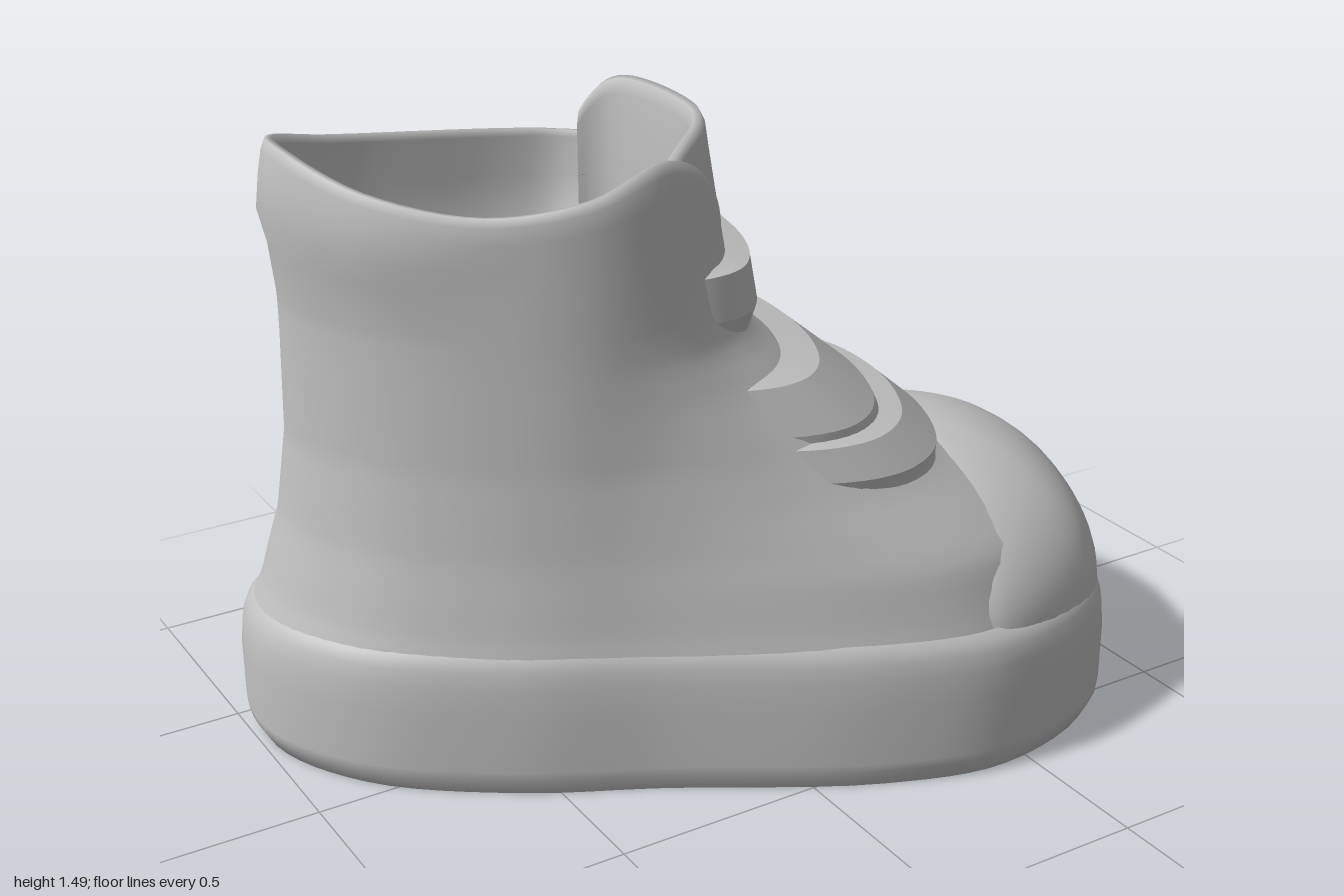
import * as THREE from 'three';

const V = (x, y, z) => new THREE.Vector3(x, y, z);
const lerp = THREE.MathUtils.lerp;
const curve = (pts, closed) => new THREE.CatmullRomCurve3(pts.map(p => V(...p)), closed);

// Matching outlines, heel -> inner side -> toe -> outer side.
const soleCurve = curve([
  [-1, 0, -.32], [-.935, 0, -.565], [-.7, 0, -.67], [-.4, 0, -.625], [-.1, 0, -.545], [.15, 0, -.515],
  [.45, 0, -.5], [.75, 0, -.43], [.95, 0, -.2], [1, 0, 0], [.965, 0, .26], [.78, 0, .565],
  [.45, 0, .665], [.15, 0, .585], [-.3, 0, .33], [-.6, 0, .17], [-.88, 0, -.06]], true);
// Ankle outline; y is the collar height there.
const ankleCurve = curve([
  [-.86, 1.44, -.32], [-.825, 1.43, -.46], [-.67, 1.39, -.53], [-.42, 1.36, -.54], [-.22, 1.34, -.525], [-.1, 1.33, -.49],
  [-.02, 1.32, -.42], [.03, 1.24, -.34], [.05, 1.21, -.22], [.05, 1.2, -.1], [.03, 1.2, .02], [-.01, 1.25, .11],
  [-.08, 1.38, .18], [-.2, 1.445, .225], [-.38, 1.38, .205], [-.58, 1.345, .09], [-.77, 1.38, -.1]], true);
const COUNT = 17, SEG = 102;

// How far the sole outline has closed in to the ankle at each height.
const backBlend = [[.31, .2], [.37, .4], [.45, .55], [.55, .75], [.75, .95], [1, 1]];
const frontBlend = [[.31, .07], [.5, .19], [.58, .32], [.65, .45], [.7, .52], [.8, .66], [.9, .81], [1, .93], [1.1, .98], [1.2, 1]];
function sample(table, y) {
  if (y <= table[0][0]) return table[0][1];
  for (let i = 1; i < table.length; i++) {
    const [a, va] = table[i - 1], [b, vb] = table[i];
    if (y <= b) return lerp(va, vb, (y - a) / (b - a));
  }
  return table[table.length - 1][1];
}

// Moves a point horizontally away from the ankle axis.
function push(p, off) {
  const dx = p.x + .4, dz = p.z + .17, d = Math.hypot(dx, dz) || 1;
  p.x += dx / d * off;
  p.z += dz / d * off;
  return p;
}

// Point on the upper; u is measured in outline points.
function upperPoint(u, y, off = 0) {
  const t = u / COUNT, s = soleCurve.getPoint(t), a = ankleCurve.getPoint(t);
  const front = THREE.MathUtils.smoothstep(s.x, -.5, .6);
  const p = s.lerp(a, lerp(sample(backBlend, y), sample(frontBlend, y), front));
  p.y = y;
  return push(p, off);
}

// Skins rows of points; a repeated row makes a sharp edge.
function loft(rows, closed) {
  const n = rows[0].length, pos = [], index = [];
  rows.forEach(row => row.forEach(p => pos.push(p.x, p.y, p.z)));
  for (let j = 0; j < rows.length - 1; j++) {
    for (let i = 0; i < (closed ? n : n - 1); i++) {
      const k = (i + 1) % n, a = j * n + i, b = j * n + k, c = a + n, d = b + n;
      index.push(a, c, b, b, c, d);
    }
  }
  const g = new THREE.BufferGeometry();
  g.setAttribute('position', new THREE.Float32BufferAttribute(pos, 3));
  g.setIndex(index);
  g.computeVertexNormals();
  return g;
}

const ring = fn => Array.from({ length: SEG }, (_, i) => fn(i * COUNT / SEG));

function soleGeometry() {
  const profile = [[0, 0], [0, .95], [0, .95], [0, .975], [.04, .997], [.06, 1], [.2, 1],
    [.27, .993], [.31, .98], [.335, .96], [.35, .93]];
  return loft(profile.map(([y, s]) => ring(u => {
    const p = soleCurve.getPoint(u / COUNT);
    return V(p.x * s, y, p.z * s);
  })), true);
}

function upperGeometry() {
  const rows = [];
  for (let y = .3; y < 1.11; y += .03) rows.push(ring(u => upperPoint(u, y)));
  // Padded collar, fuller at the heel, rolled over the rim: [share of height, offset, heel offset]
  const collar = [[.25, 0, .012], [.5, 0, .03], [.75, 0, .02], [.92, 0, .01], [1, -.01, 0],
    [1, -.02, -.015], [.93, -.03, -.025], [.5, -.035, -.02]];
  collar.forEach(([s, side, heel]) => rows.push(ring(u => {
    const p = ankleCurve.getPoint(u / COUNT);
    p.y = lerp(1.12, p.y, s);
    return push(p, lerp(heel, side, THREE.MathUtils.smoothstep(p.x, -.85, -.5)));
  })));
  // Lining narrowing to a bowl: [height, scale]
  [[1.14, .85], [1.05, .75], [.96, .6], [.89, .4], [.86, .2], [.85, 0]].forEach(([y, s]) => rows.push(ring(u => {
    const p = ankleCurve.getPoint(u / COUNT);
    return V(lerp(-.4, p.x, s), y, lerp(-.17, p.z, s));
  })));
  return loft(rows, true);
}

function toeCapGeometry() {
  const edge = curve([[.5, 0, -.36], [.64, 0, -.43], [.78, 0, -.4], [.95, 0, -.2], [1, 0, 0],
    [.965, 0, .26], [.78, 0, .565], [.44, 0, .655], [.27, 0, .54]], false).getPoints(56);
  const rows = [];
  for (let j = 0; j <= 16; j++) {
    const a = j / 16 * Math.PI / 2, s = .955 * Math.cos(a);
    rows.push(edge.map(p => V(lerp(.57, p.x, s), .31 + .35 * Math.sin(a), lerp(.11, p.z, s))));
  }
  return loft(rows, false);
}

// Sweeps a section of [height, offset] points across the front of the upper.
function bandGeometry(section, u0, u1, slope, endDrop, endTuck) {
  const steps = 40;
  return loft(section.map(([y, off]) => Array.from({ length: steps + 1 }, (_, i) => {
    const k = i / steps, u = lerp(u0, u1, k);
    const end = Math.pow(Math.abs(2 * k - 1), 6);
    const z = upperPoint(u, y).z;
    return upperPoint(u, y - slope * (z + .1) - endDrop * end, off - endTuck * end);
  })), false);
}

function strapGeometry(top, bottom, thick, u0, u1, slope) {
  const mid = lerp(top, bottom, .65);
  return bandGeometry([[bottom - .03, -.03], [bottom, .005], [mid, thick * .8], [mid, thick * .8],
    [top, thick], [top, thick], [top + .025, -.04]], u0, u1, slope, 0, thick + .01);
}

export function createModel() {
  const model = new THREE.Group();
  model.name = 'boot';
  const grey = new THREE.MeshStandardMaterial({ color: 0xc0c0c0, side: THREE.DoubleSide });
  grey.name = 'grey';
  const add = (name, geometry) => {
    const mesh = new THREE.Mesh(geometry, grey);
    mesh.name = name;
    model.add(mesh);
  };

  add('sole', soleGeometry());
  add('upper', upperGeometry());
  add('toeCap', toeCapGeometry());

  // Tongue standing above the collar
  add('tongue', bandGeometry([[1.05, -.02], [1.15, .005], [1.27, -.005], [1.4, -.025], [1.47, -.035],
    [1.49, -.045], [1.485, -.06], [1.45, -.07], [1.2, -.08], [1.05, -.1]], 5.9, 12.6, 0, .09, .02));

  // Three straps over the instep
  add('topStrap', strapGeometry(1.19, 1.03, .06, 6, 12.4, .1));
  add('middleStrap', strapGeometry(.945, .79, .07, 7.3, 12.4, .1));
  add('lowerStrap', strapGeometry(.785, .67, .075, 7.7, 12.4, .02));
  return model;
}
